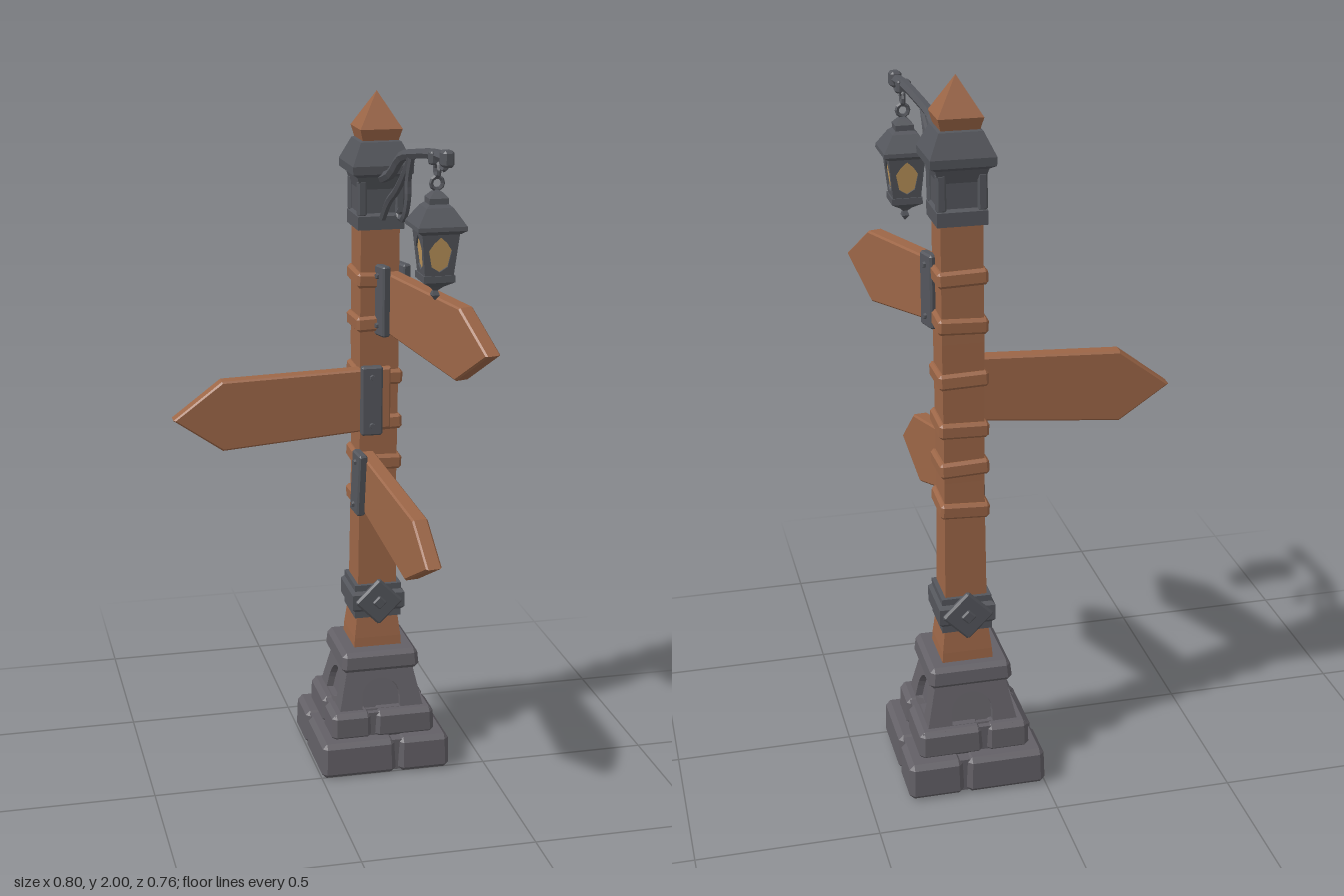
import * as THREE from 'three';
import { ConvexGeometry } from 'three/addons/geometries/ConvexGeometry.js';

const paint = (name, color) => Object.assign(new THREE.MeshStandardMaterial({ color }), { name });

export function createModel() {
  const wood = paint('wood', 0x9c6647);
  const stone = paint('stone', 0x636066);
  const iron = paint('iron', 0x54565c);
  const glass = paint('lamp glass', 0xbd965c);
  const model = new THREE.Group();
  model.name = 'signpost';

  const group = (parent, name, x = 0, y = 0, z = 0, ry = 0) => {
    const g = new THREE.Group();
    g.name = name;
    g.position.set(x, y, z);
    g.rotation.y = ry;
    parent.add(g);
    return g;
  };
  // Adds a faceted mesh
  const add = (parent, name, geometry, material, x = 0, y = 0, z = 0) => {
    const geo = geometry.index ? geometry.toNonIndexed() : geometry;
    geo.computeVertexNormals();
    const mesh = new THREE.Mesh(geo, material);
    mesh.name = name;
    mesh.position.set(x, y, z);
    parent.add(mesh);
    return mesh;
  };
  // Chamfered block from half sizes; taper scales the top
  const block = (w, h, d, c, taper = 1) => {
    const points = [];
    for (const sx of [-1, 1]) for (const sy of [-1, 1]) for (const sz of [-1, 1])
      for (const [a, b, e] of [[0, c, c], [c, 0, c], [c, c, 0]]) {
        const k = sy > 0 ? taper : 1;
        points.push(new THREE.Vector3(sx * (w - a) * k, sy * (h - b), sz * (d - e) * k));
      }
    return new ConvexGeometry(points);
  };
  // Square cross-sections, [half width, y] from bottom to top
  const squareLoft = (profile) => new THREE.LatheGeometry(
    profile.map(([r, y]) => new THREE.Vector2(r * Math.SQRT2, y)), 4, Math.PI / 4);
  // Four leaning panels, each with an opening
  const panels = (parent, name, bottom, top, y, h, hole, depth, material) => {
    for (let i = 0; i < 4; i++) {
      const side = group(parent, name + 'Side', 0, y, 0, i * Math.PI / 2);
      const shape = new THREE.Shape([[-bottom, 0], [bottom, 0], [top, h], [-top, h]]
        .map((p) => new THREE.Vector2(...p)));
      shape.holes.push(hole);
      const geo = new THREE.ExtrudeGeometry(shape, { depth, bevelEnabled: false, curveSegments: 6 });
      geo.translate(0, 0, -depth);
      add(side, name, geo, material, 0, 0, bottom).rotation.x = -Math.atan((bottom - top) / h);
    }
  };
  const tube = (parent, name, points, r) => add(parent, name, new THREE.TubeGeometry(
    new THREE.CatmullRomCurve3(points.map(([y, z]) => new THREE.Vector3(0, y, z))), 14, r, 6), iron);

  // Stone base: two tiers of four uneven blocks
  const base = group(model, 'base', 0.195, 0, -0.18);
  const tier = (half, y0, y1, splitX, splitZ) => {
    const gap = 0.004, h = (y1 - y0) / 2;
    for (const sx of [-1, 1]) for (const sz of [-1, 1]) {
      const w = (half - sx * splitX - gap) / 2, d = (half - sz * splitZ - gap) / 2;
      add(base, 'baseStone', block(w, h, d, 0.014, 0.975), stone,
        sx * (half - w), y0 + h, sz * (half - d));
    }
    add(base, 'baseCore', new THREE.BoxGeometry(half * 1.85, h * 1.8, half * 1.85), stone, 0, y0 + h, 0);
  };
  tier(0.195, 0, 0.108, 0.035, -0.04);
  tier(0.157, 0.1, 0.185, -0.03, 0.03);

  // Plinth with an arched niche on each side
  add(base, 'plinthCore', squareLoft([[0, 0.17], [0.108, 0.17], [0.08, 0.31], [0, 0.31]]), stone);
  const arch = new THREE.Path();
  arch.moveTo(-0.058, 0.006);
  arch.lineTo(0.058, 0.006);
  arch.lineTo(0.058, 0.04);
  arch.absarc(0, 0.04, 0.058, 0, Math.PI, false);
  arch.lineTo(-0.058, 0.006);
  panels(base, 'plinthArch', 0.128, 0.1, 0.18, 0.125, arch, 0.02, stone);
  add(base, 'plinthCap', block(0.118, 0.031, 0.118, 0.013, 0.97), stone, 0, 0.331, 0);

  // Post with flared foot, and pointed tip
  const post = group(model, 'post', 0.197, 0, -0.187);
  add(post, 'postShaft', squareLoft([[0, 0.34], [0.073, 0.34], [0.07, 0.39], [0.059, 0.48],
    [0.055, 0.9], [0.057, 1.3], [0.056, 1.64], [0, 1.64]]), wood);
  add(post, 'postTip', squareLoft([[0, 1.85], [0.046, 1.85], [0.06, 1.9], [0, 2]]), wood);

  // Iron collar with diamonds front and back
  add(post, 'collar', squareLoft([[0, 0.455], [0.07, 0.455], [0.07, 0.475], [0.079, 0.485],
    [0.079, 0.53], [0.07, 0.54], [0.07, 0.558], [0, 0.558]]), iron);
  for (const s of [-1, 1]) {
    add(post, 'collarDiamond', block(0.052, 0.052, 0.009, 0.006), iron, 0, 0.508, s * 0.08).rotation.z = Math.PI / 4;
    add(post, 'collarStud', block(0.016, 0.016, 0.006, 0.004), iron, 0, 0.508, s * 0.09).rotation.z = Math.PI / 4;
  }

  // Iron cap
  add(post, 'ironCap', squareLoft([[0, 1.622], [0.067, 1.622], [0.067, 1.66], [0.06, 1.668],
    [0.06, 1.735], [0.07, 1.77], [0.086, 1.78], [0.087, 1.803], [0.058, 1.865], [0.048, 1.87], [0, 1.87]]), iron);
  for (let i = 0; i < 4; i++) {
    const side = group(post, 'capSide', 0, 0, 0, i * Math.PI / 2);
    add(side, 'capCorner', block(0.013, 0.05, 0.013, 0.005), iron, 0.054, 1.71, 0.054);
  }

  // Wooden bands holding the signs
  [[0.82, 0.05], [0.94, -0.04], [1.055, 0.03], [1.195, -0.03], [1.35, 0.04], [1.478, -0.03]]
    .forEach(([y, tilt]) => {
      const band = add(post, 'postBand', block(0.068, 0.022, 0.068, 0.008), wood, 0, y, 0);
      band.rotation.set(-tilt, 0, tilt);
    });

  // Pointed sign boards with riveted plates
  const sign = (name, x, z, dx, dz, outline, plateS, plateY, plateH, sides, tilt) => {
    const g = group(model, name, x, 0, z, Math.atan2(-dz, dx));
    const b = 0.005, depth = 0.036;
    const geo = new THREE.ExtrudeGeometry(new THREE.Shape(outline.map((p) => new THREE.Vector2(...p))),
      { depth, bevelThickness: b, bevelSize: b, bevelOffset: -b, bevelSegments: 1 });
    geo.translate(0, 0, -depth / 2);
    add(g, 'signBoard', geo, wood);
    for (const s of sides) {
      const plate = group(g, 'signPlate', plateS, plateY, s * 0.033);
      plate.rotation.z = tilt;
      add(plate, 'plate', block(0.031, plateH, 0.013, 0.005), iron);
      for (const v of [-0.7, 0.7])
        add(plate, 'rivet', new THREE.CylinderGeometry(0.007, 0.009, 0.008, 6), iron,
          0, v * plateH, s * 0.016).rotation.x = s * Math.PI / 2;
    }
  };
  sign('upperSign', 0.225, -0.15, 0.153, 0.525,
    [[-0.02, 1.333], [0.395, 1.273], [0.547, 1.375], [0.407, 1.477], [-0.02, 1.502]], 0.022, 1.42, 0.102, [-1, 1], 0);
  sign('middleSign', 0.197, -0.131, -0.55, -0.015,
    [[-0.03, 1.045], [0.457, 1.003], [0.597, 1.1], [0.457, 1.207], [-0.03, 1.225]], 0.029, 1.133, 0.102, [-1], 0);
  sign('lowerSign', 0.165, -0.11, 0.063, 0.485,
    [[-0.03, 0.812], [0.333, 0.703], [0.489, 0.79], [0.383, 0.897], [-0.03, 0.972]], 0.002, 0.886, 0.095, [1], -0.1);

  // Curved iron arm with scrolls
  const arm = group(model, 'lampArm', 0.2, 0, -0.12, 0.14);
  tube(arm, 'armBar', [[1.765, -0.01], [1.79, 0.06], [1.845, 0.13], [1.87, 0.24], [1.885, 0.35], [1.885, 0.43]], 0.015);
  tube(arm, 'armBrace', [[1.655, 0], [1.71, 0.045], [1.75, 0.1], [1.8, 0.15], [1.86, 0.2]], 0.011);
  tube(arm, 'armScroll', [[1.855, 0.2], [1.79, 0.178], [1.74, 0.177], [1.69, 0.158], [1.675, 0.135],
    [1.69, 0.118], [1.703, 0.132]], 0.01);
  add(arm, 'armKnob', block(0.016, 0.022, 0.018, 0.007), iron, 0, 1.885, 0.428);
  add(arm, 'armCurl', new THREE.TorusGeometry(0.014, 0.007, 5, 8), iron, 0, 1.868, 0.41).rotation.y = Math.PI / 2;
  add(arm, 'armClasp', block(0.02, 0.018, 0.012, 0.005), iron, 0, 1.878, 0.36);

  // Hanging lantern
  const lantern = group(model, 'lantern', 0.253, 0, 0.238);
  add(lantern, 'lanternRing', new THREE.TorusGeometry(0.019, 0.006, 5, 10), iron, 0, 1.848, 0).rotation.y = Math.PI / 2;
  add(lantern, 'lanternLink', new THREE.TorusGeometry(0.016, 0.006, 5, 10), iron, 0, 1.812, 0);
  add(lantern, 'lanternRoof', squareLoft([[0, 1.685], [0.052, 1.685], [0.067, 1.696], [0.066, 1.707],
    [0.036, 1.752], [0.026, 1.76], [0.026, 1.775], [0.012, 1.79], [0, 1.797]]), iron);
  add(lantern, 'lanternGlass', squareLoft([[0, 1.572], [0.034, 1.572], [0.046, 1.688], [0, 1.688]]), glass);
  const opening = new THREE.Path([[0, 0.012], [0.022, 0.026], [0.031, 0.07], [0.018, 0.09],
    [0, 0.106], [-0.018, 0.09], [-0.031, 0.07], [-0.022, 0.026]].map((p) => new THREE.Vector2(...p)));
  panels(lantern, 'lanternFrame', 0.039, 0.051, 1.572, 0.118, opening, 0.006, iron);
  add(lantern, 'lanternFoot', squareLoft([[0, 1.5], [0.011, 1.515], [0.006, 1.528], [0.018, 1.54],
    [0.043, 1.556], [0.043, 1.574], [0, 1.574]]), iron);

  return model;
}
